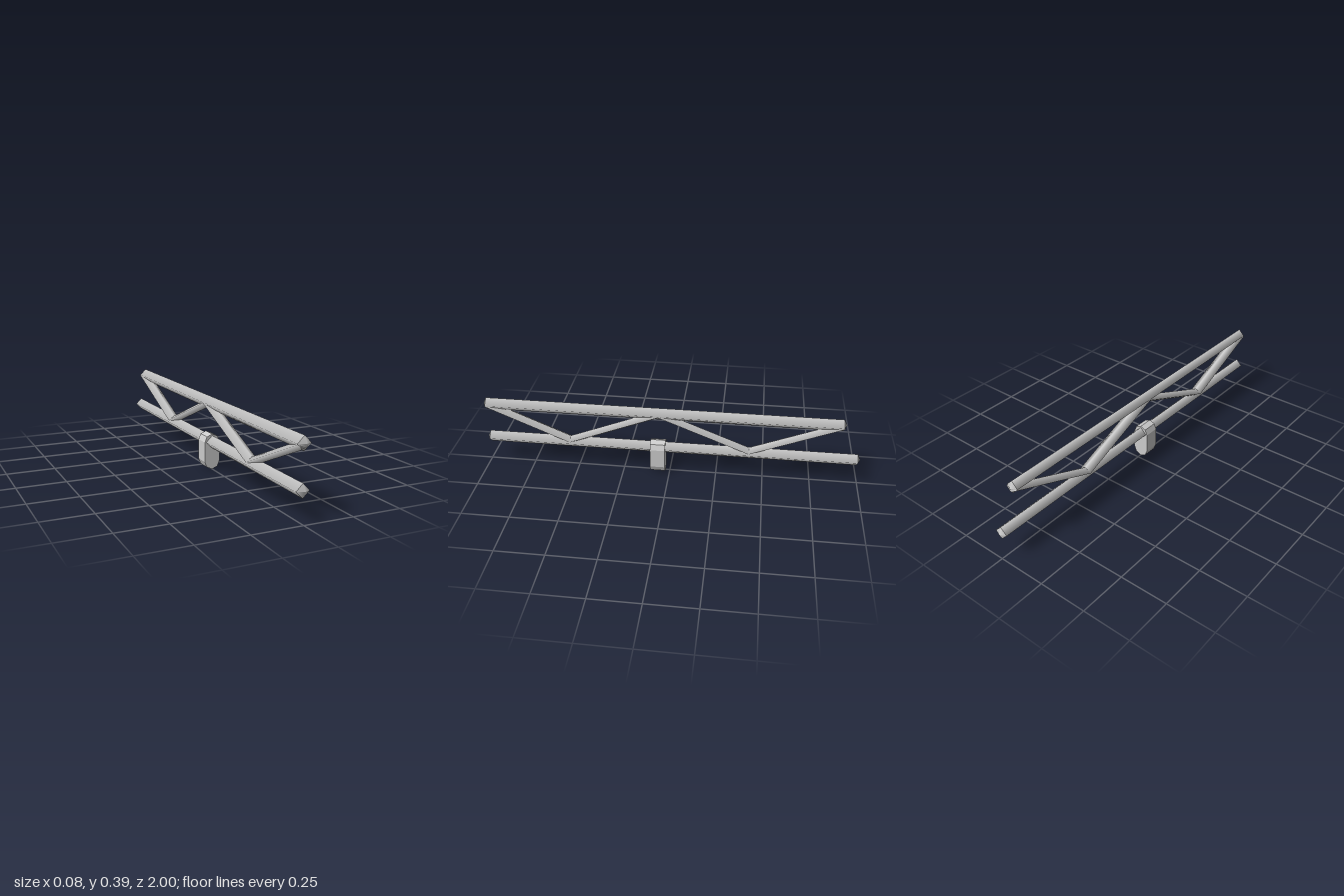
import * as THREE from 'three';
import { mergeGeometries } from 'three/addons/utils/BufferGeometryUtils.js';

export function createModel() {
  const group = new THREE.Group();
  const material = new THREE.MeshStandardMaterial({ color: 0xcccccc });
  const R = 0.034, TIP = 0.015;

  function add(name, geometry, mat = material) {
    const mesh = new THREE.Mesh(geometry, mat);
    mesh.name = name;
    group.add(mesh);
    return mesh;
  }

  // Diamond-section chord along z with shallow pointed ends
  function chord(name, y, zBack, zFront) {
    const length = zFront - zBack - 2 * TIP;
    const tube = new THREE.CylinderGeometry(R, R, length, 4, 1, true);
    const front = new THREE.ConeGeometry(R, TIP, 4, 1, true).translate(0, (length + TIP) / 2, 0);
    const back = front.clone().rotateX(Math.PI);
    const geo = mergeGeometries([tube, front, back]);
    geo.rotateX(Math.PI / 2);
    add(name, geo).position.set(0, y, (zFront + zBack) / 2);
  }
  chord('topChord', 0.352, -0.907, 1);
  chord('bottomChord', 0.147, -1, 1);

  // Zigzag web: flattened diamond struts between the chords
  const nodes = [[0.985, 0.348], [0.54, 0.157], [0.06, 0.348], [-0.42, 0.157], [-0.895, 0.348]];
  for (let i = 0; i < nodes.length - 1; i++) {
    const a = new THREE.Vector3(0, nodes[i][1], nodes[i][0]);
    const b = new THREE.Vector3(0, nodes[i + 1][1], nodes[i + 1][0]);
    const geo = new THREE.CylinderGeometry(R, R, a.distanceTo(b), 4);
    geo.scale(1, 1, 0.6);
    const strut = add('webStrut' + (i + 1), geo);
    strut.position.copy(a).lerp(b, 0.5);
    strut.quaternion.setFromUnitVectors(new THREE.Vector3(0, 1, 0), b.sub(a).normalize());
  }

  // Faceted mounting block wrapped around the bottom chord
  const r = 0.042, shape = new THREE.Shape();
  const ring = [];
  for (let i = 0; i <= 4; i++) {
    const t = Math.PI + i * Math.PI / 4;
    ring.push([r * Math.cos(t), r + r * Math.sin(t)]);
  }
  for (let i = 0; i <= 4; i++) {
    const t = i * Math.PI / 4;
    ring.push([r * Math.cos(t), 0.147 + r * Math.sin(t)]);
  }
  shape.setFromPoints(ring.map(([x, y]) => new THREE.Vector2(x, y)));
  const blockMaterial = new THREE.MeshStandardMaterial({ color: 0xcccccc, flatShading: true });
  add('mountingBlock', new THREE.ExtrudeGeometry(shape, { depth: 0.08, bevelEnabled: false }), blockMaterial)
    .position.z = 0.023;

  return group;
}
